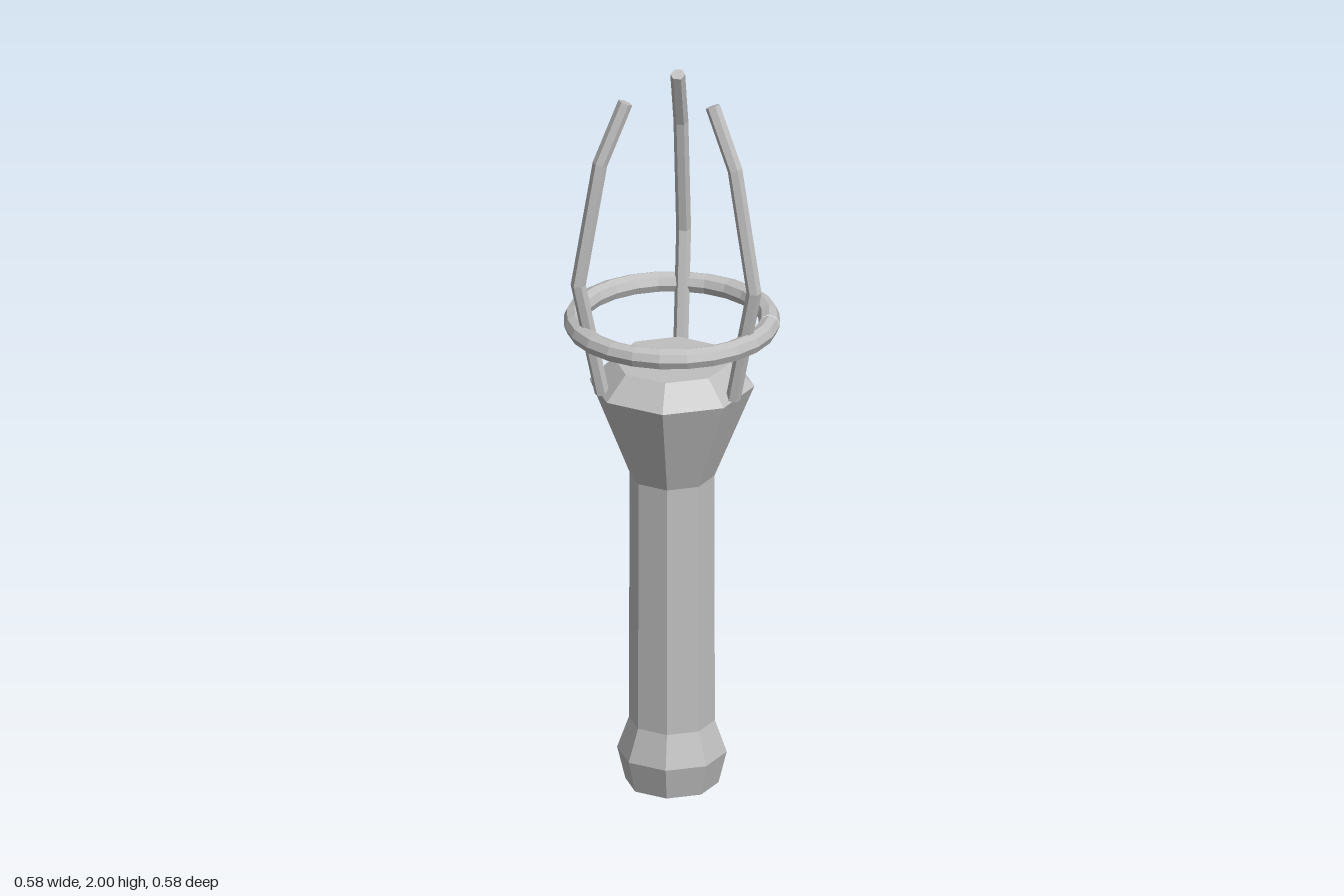
import * as THREE from 'three';

const metal = new THREE.MeshStandardMaterial({ color: 0xbfbfbf, flatShading: true });
metal.name = 'greyMetal';

function addMesh(parent, name, geometry) {
  const mesh = new THREE.Mesh(geometry, metal);
  mesh.name = name;
  parent.add(mesh);
  return mesh;
}

// Hexagonal bar bent along a path of (outward, height) points, mitred at each bend
function bentBar(path, radius) {
  const last = path.length - 1;
  const geo = new THREE.CylinderGeometry(radius, radius, last, 6, last, false, Math.PI / 6);
  const pos = geo.attributes.position;
  const dir = (a, b) => path[b].clone().sub(path[a]).normalize();
  for (let v = 0; v < pos.count; v++) {
    const i = Math.round(pos.getY(v) + last / 2);
    const before = dir(Math.max(i - 1, 0), Math.max(i, 1));
    const after = dir(Math.min(i, last - 1), Math.min(i + 1, last));
    const t = before.clone().add(after).normalize();
    const offset = pos.getZ(v) / t.dot(before);
    pos.setXYZ(v, pos.getX(v), path[i].y - t.x * offset, path[i].x + t.y * offset);
  }
  geo.computeVertexNormals();
  return geo;
}

export function createModel() {
  const model = new THREE.Group();
  model.name = 'prongedHandle';

  // Eight-sided handle with a pommel and a flared head
  const profile = [
    [0, 0], [0.125, 0], [0.147, 0.09], [0.115, 0.18], [0.114, 0.89],
    [0.221, 1.155], [0.157, 1.22], [0, 1.22],
  ].map(([r, y]) => new THREE.Vector2(r, y));
  addMesh(model, 'handle', new THREE.LatheGeometry(profile, 8));

  // Split ring around the prongs, with a narrow gap on the left
  const ringRadius = 0.261, barRadius = 0.029, gap = 0.016;
  const ring = new THREE.Group();
  ring.name = 'splitRing';
  ring.position.y = 1.335;
  model.add(ring);
  const bar = new THREE.TorusGeometry(ringRadius, barRadius, 8, 24, Math.PI * 2 - gap);
  bar.rotateX(Math.PI / 2).rotateY(-gap / 2);
  addMesh(ring, 'ringBar', bar);
  for (const side of [-1, 1]) {
    const end = new THREE.CircleGeometry(barRadius, 8);
    if (side > 0) end.rotateY(Math.PI);
    end.translate(ringRadius, 0, 0).rotateY(side * gap / 2);
    addMesh(ring, 'ringEnd', end);
  }

  // Three curved prongs rising from the head
  const path = [[0.203, 1.16], [0.272, 1.485], [0.209, 1.825], [0.135, 1.991]]
    .map(([r, y]) => new THREE.Vector2(r, y));
  const prongGeometry = bentBar(path, 0.02);
  for (let i = 0; i < 3; i++) {
    addMesh(model, 'prong', prongGeometry).rotation.y = Math.PI / 3 + i * Math.PI * 2 / 3;
  }

  return model;
}
